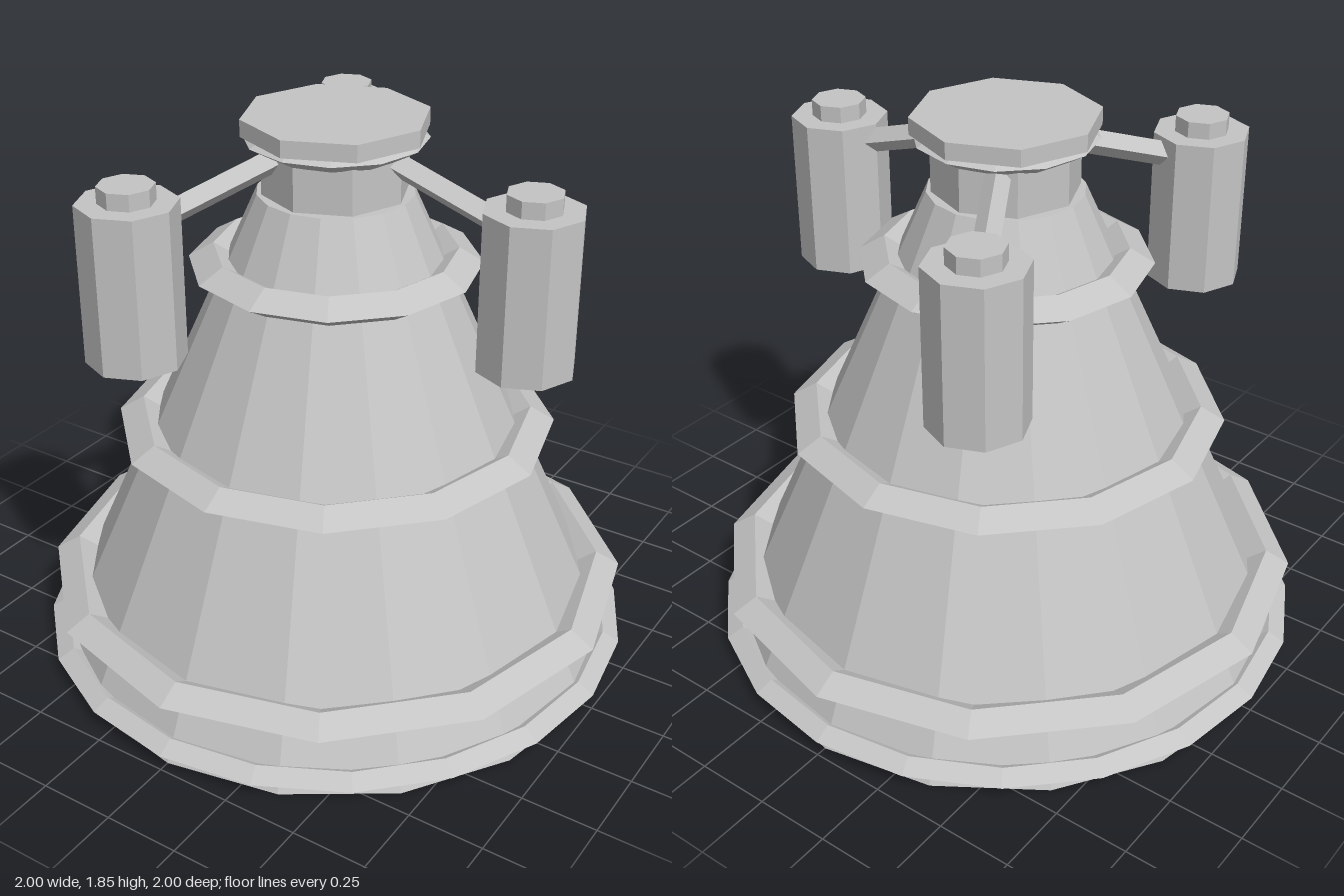
import * as THREE from 'three';

export function createModel() {
  const model = new THREE.Group();
  const grey = new THREE.MeshStandardMaterial({ color: 0xc4c4c4 });
  grey.name = 'hullGrey';
  grey.flatShading = true;

  function add(name, geometry, parent = model) {
    const mesh = new THREE.Mesh(geometry, grey);
    mesh.name = name;
    parent.add(mesh);
    return mesh;
  }

  // Upright faceted cylinder or cone between two heights
  function column(name, rTop, rBottom, y0, y1, sides, parent) {
    const geometry = new THREE.CylinderGeometry(rTop, rBottom, y1 - y0, sides);
    geometry.translate(0, (y0 + y1) / 2, 0);
    return add(name, geometry, parent);
  }

  // Flattened ring with a diamond section
  function ring(name, radius, tube, y, sides) {
    const geometry = new THREE.TorusGeometry(radius, tube, 4, sides);
    geometry.rotateX(Math.PI / 2);
    geometry.scale(1, 0.6, 1);
    geometry.translate(0, y, 0);
    return add(name, geometry);
  }

  // Conical hull, neck and top cap
  column('hullCone', 0.25, 0.965, 0, 1.6, 16);
  column('neck', 0.235, 0.235, 1.58, 1.8, 8);
  column('topCap', 0.297, 0.297, 1.79, 1.845, 8);

  // Rings round the hull
  ring('baseRing', 0.945, 0.055, 0.052, 20);
  ring('lowerRing', 0.905, 0.08, 0.232, 12);
  ring('middleRing', 0.645, 0.08, 0.8, 12);
  ring('upperRing', 0.39, 0.08, 1.365, 12);
  ring('collarRing', 0.23, 0.06, 1.775, 12);

  // Three pods on sloping struts
  const inner = new THREE.Vector2(0.18, 1.738);
  const outer = new THREE.Vector2(0.6, 1.604);
  const slope = Math.atan2(outer.y - inner.y, outer.x - inner.x);
  for (let i = 0; i < 3; i++) {
    const angle = (i * Math.PI * 2) / 3;
    const arm = new THREE.Group();
    arm.name = 'podArm' + (i + 1);
    arm.rotation.y = angle;
    model.add(arm);

    const strut = new THREE.CylinderGeometry(0.04, 0.04, inner.distanceTo(outer), 4);
    strut.rotateZ(slope - Math.PI / 2);
    strut.translate((inner.x + outer.x) / 2, (inner.y + outer.y) / 2, 0);
    add('strut', strut, arm);

    // Pods keep the same facing on every arm
    const pod = new THREE.Group();
    pod.name = 'pod';
    pod.position.x = 0.683;
    pod.rotation.y = -angle;
    arm.add(pod);
    column('podBody', 0.157, 0.157, 1.17, 1.68, 8, pod);
    column('podLid', 0.088, 0.088, 1.67, 1.733, 8, pod);
  }

  return model;
}
